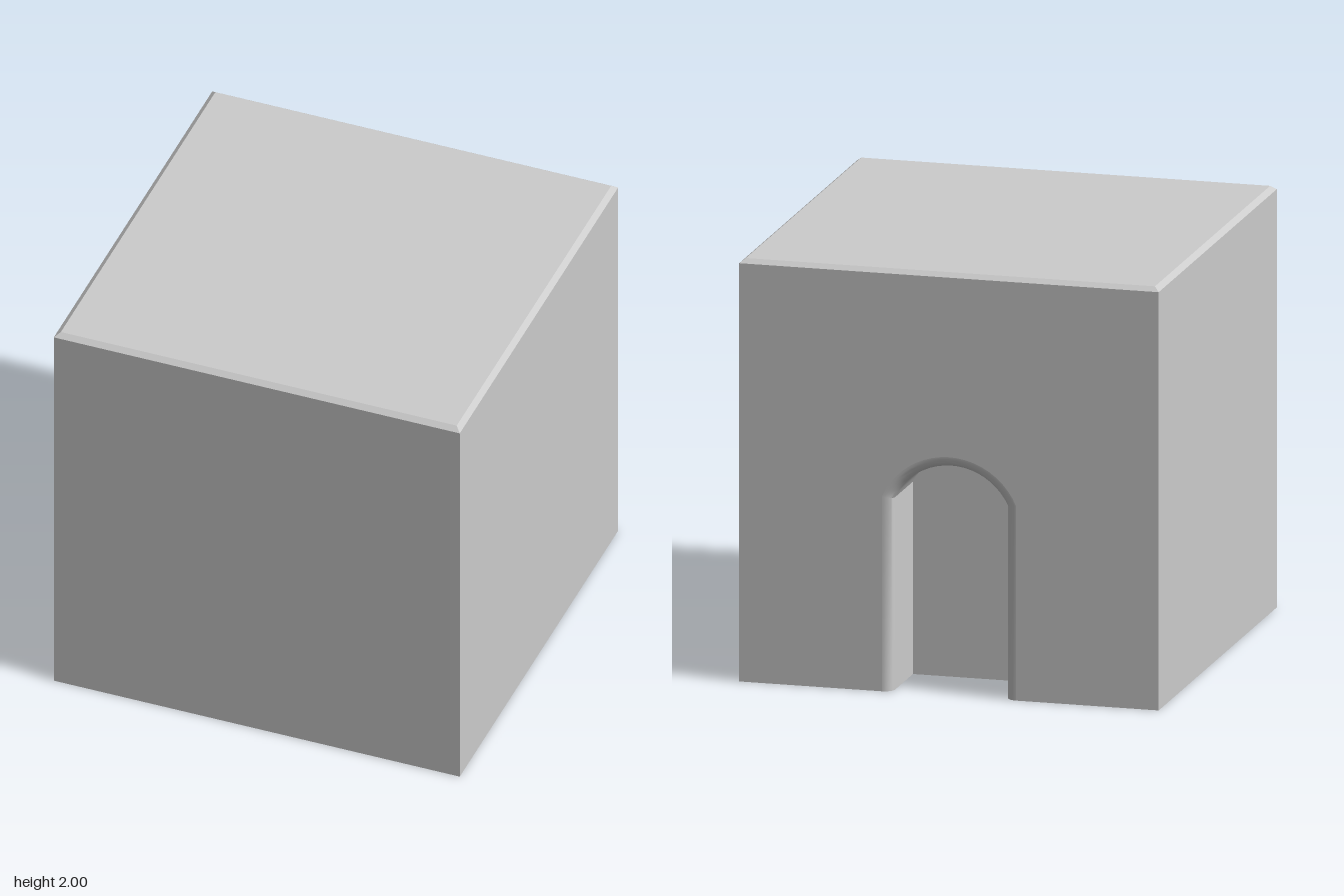
import * as THREE from 'three';
import { toCreasedNormals } from 'three/addons/utils/BufferGeometryUtils.js';

const CHAMFER_Y = 1.98, TOP_HALF = 0.975;            // chamfered top rim
const HALF_W = 0.27, NICHE_Z = -0.65;                // niche half width and inner end
const ARC_Y = 0.78, ARC_R = 0.3;                     // segmental arch circle
const FILLET = 0.05, FILLET_STEPS = 8, ARC_STEPS = 20;

// Arch outline from +x foot over the crown to -x foot, widened by d
function archOutline(d) {
  const w = HALF_W + d, r = ARC_R + d, half = Math.asin(w / r);
  const pts = [new THREE.Vector2(w, 0)];
  for (let i = 0; i <= ARC_STEPS; i++) {
    const a = half * (1 - (2 * i) / ARC_STEPS);
    pts.push(new THREE.Vector2(r * Math.sin(a), ARC_Y + r * Math.cos(a)));
  }
  pts.push(new THREE.Vector2(-w, 0));
  return pts;
}

// Depth profile: straight reveal, then rounded lip; x = widening, y = z position
function depthProfile() {
  const pts = [new THREE.Vector2(0, NICHE_Z)];
  for (let i = 0; i <= FILLET_STEPS; i++) {
    const a = (i / FILLET_STEPS) * Math.PI / 2;
    pts.push(new THREE.Vector2(FILLET * (1 - Math.cos(a)), -1 + FILLET * (1 - Math.sin(a))));
  }
  return pts;
}

// Loft the arch outline along the depth profile
function nicheGeometry(profile) {
  const pos = [], index = [];
  let cols = 0;
  profile.forEach((p) => {
    const outline = archOutline(p.x);
    cols = outline.length;
    outline.forEach((q) => pos.push(q.x, q.y, p.y));
  });
  for (let i = 0; i < profile.length - 1; i++) {
    for (let j = 0; j < cols - 1; j++) {
      const a = i * cols + j, b = a + 1, c = a + cols, d = c + 1;
      index.push(a, b, c, b, d, c);
    }
  }
  const geo = new THREE.BufferGeometry();
  geo.setAttribute('position', new THREE.Float32BufferAttribute(pos, 3));
  geo.setIndex(index);
  return toCreasedNormals(geo, 0.4);
}

export function createModel() {
  const group = new THREE.Group();
  const material = new THREE.MeshStandardMaterial({ color: 0xcccccc });
  const add = (name, geometry) => {
    const mesh = new THREE.Mesh(geometry, material);
    mesh.name = name;
    group.add(mesh);
  };
  const v = (x, y) => new THREE.Vector2(x, y);
  const profile = depthProfile();

  // Plain walls: front and both sides
  [['frontWall', 0], ['leftWall', Math.PI / 2], ['rightWall', -Math.PI / 2]].forEach(([name, turn]) =>
    add(name, new THREE.PlaneGeometry(2, CHAMFER_Y).translate(0, CHAMFER_Y / 2, 1).rotateY(turn)));

  // Chamfered rim and top
  const rim = new THREE.CylinderGeometry(TOP_HALF * Math.SQRT2, Math.SQRT2, 2 - CHAMFER_Y, 4, 1, true)
    .rotateY(Math.PI / 4).translate(0, (2 + CHAMFER_Y) / 2, 0);
  add('topChamfer', toCreasedNormals(rim, 0.4));
  add('top', new THREE.PlaneGeometry(2 * TOP_HALF, 2 * TOP_HALF).rotateX(-Math.PI / 2).translate(0, 2, 0));

  // Back wall with the arched opening
  const backShape = new THREE.Shape([
    v(1, 0), v(1, CHAMFER_Y), v(-1, CHAMFER_Y), v(-1, 0), ...archOutline(FILLET).reverse(),
  ]);
  add('backWall', new THREE.ShapeGeometry(backShape).rotateY(Math.PI).translate(0, 0, -1));

  // Niche reveal with rounded lip, and its end wall
  add('nicheReveal', nicheGeometry(profile));
  add('nicheEndWall', new THREE.ShapeGeometry(new THREE.Shape(archOutline(0)))
    .rotateY(Math.PI).translate(0, 0, NICHE_Z));

  // Underside, notched by the niche
  const notchLeft = profile.map((p) => v(HALF_W + p.x, p.y));
  const notchRight = profile.map((p) => v(-HALF_W - p.x, p.y)).reverse();
  const baseShape = new THREE.Shape([v(1, -1), v(1, 1), v(-1, 1), v(-1, -1), ...notchRight, ...notchLeft]);
  add('underside', new THREE.ShapeGeometry(baseShape).rotateX(Math.PI / 2));

  return group;
}
